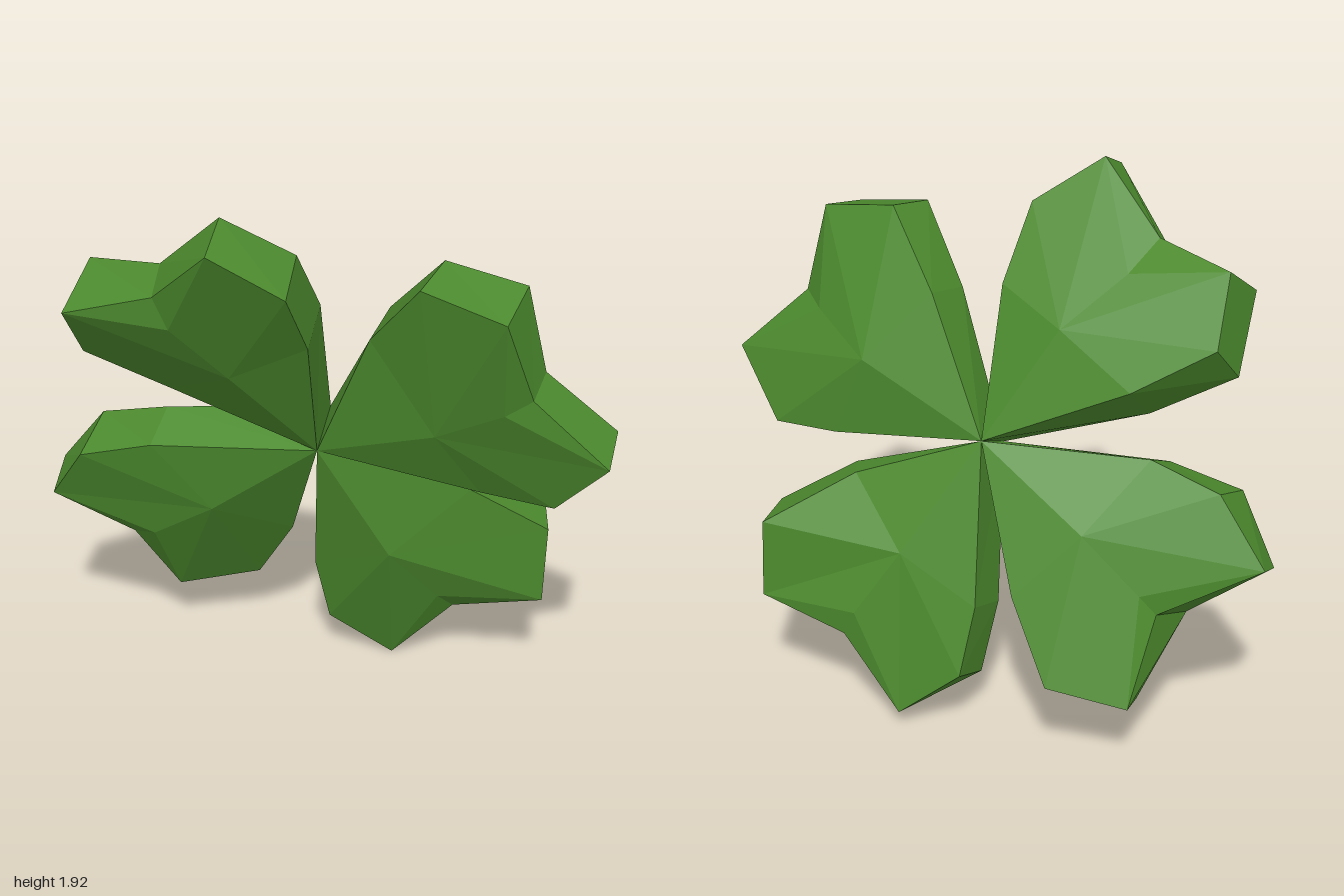
import * as THREE from 'three';

const hubFront = [-0.02, 0.963, 0.02];
const hubBack = [-0.005, 1.047, -0.17];
const NOTCH = 4; // outline index of the heart notch, the hub being 0

// Puffy heart. Each side has seven rim points running counter-clockwise (seen
// from the front) from the hub, a raised middle and a bump beside the notch.
function leafletGeometry(front, back) {
  const positions = [];
  const triangle = (a, b, c) => positions.push(...a, ...b, ...c);
  const frontLine = [hubFront, ...front.rim];
  const backLine = [hubBack, ...back.rim];

  // Fan from the middle; the bump stands in for the notch, with a small bevel
  const face = (outline, { middle, bump }, flip) => {
    const tri = flip ? (a, b, c) => triangle(a, c, b) : triangle;
    outline.forEach((p, i) => {
      const q = outline[(i + 1) % outline.length];
      const atStart = i === NOTCH;
      const atEnd = i + 1 === NOTCH;
      tri(middle, atStart ? bump : p, atEnd ? bump : q);
      if (atStart || atEnd) tri(bump, p, q);
    });
  };
  face(frontLine, front, false);
  face(backLine, back, true);

  // Rim wall
  frontLine.forEach((p, i) => {
    const j = (i + 1) % frontLine.length;
    triangle(p, backLine[i], backLine[j]);
    triangle(p, backLine[j], frontLine[j]);
  });

  // Unshared corners give flat facets
  const geometry = new THREE.BufferGeometry();
  geometry.setAttribute('position', new THREE.Float32BufferAttribute(positions, 3));
  geometry.computeVertexNormals();
  return geometry;
}

export function createModel() {
  const group = new THREE.Group();
  group.name = 'fourLeafClover';

  const leafGreen = new THREE.MeshStandardMaterial({ color: 0x4c8a2e });
  leafGreen.name = 'leaf green';

  const addLeaflet = (name, front, back) => {
    const mesh = new THREE.Mesh(leafletGeometry(front, back), leafGreen);
    mesh.name = name;
    group.add(mesh);
  };

  addLeaflet('upperRightLeaflet', {
    rim: [[0, 1.47, 0.29], [-0.04, 1.70, 0.445], [-0.28, 1.85, 0.50], [-0.50, 1.63, 0.33],
      [-0.82, 1.53, 0.28], [-0.82, 1.30, 0.07], [-0.54, 1.155, 0.005]],
    middle: [-0.28, 1.31, 0.22], bump: [-0.45, 1.52, 0.33],
  }, {
    rim: [[0, 1.53, 0.06], [-0.045, 1.77, 0.235], [-0.27, 1.92, 0.335], [-0.50, 1.70, 0.21],
      [-0.77, 1.655, 0.09], [-0.775, 1.44, -0.07], [-0.51, 1.285, -0.145]],
    middle: [-0.24, 1.44, -0.06], bump: [-0.43, 1.61, 0.08],
  });

  addLeaflet('upperLeftLeaflet', {
    rim: [[0.553, 0.888, 0.08], [0.81, 0.888, 0.15], [0.985, 1.096, 0.245], [0.73, 1.34, 0.275],
      [0.645, 1.647, 0.396], [0.36, 1.706, 0.305], [0.18, 1.46, 0.16]],
    middle: [0.404, 1.134, 0.18], bump: [0.64, 1.28, 0.28],
  }, {
    rim: [[0.56, 0.965, -0.105], [0.81, 0.945, -0.05], [1, 1.16, 0.08], [0.757, 1.385, 0.14],
      [0.69, 1.695, 0.175], [0.415, 1.74, 0.12], [0.22, 1.50, -0.03]],
    middle: [0.44, 1.265, -0.13], bump: [0.665, 1.365, 0.03],
  });

  addLeaflet('lowerRightLeaflet', {
    rim: [[-0.60, 0.957, 0.07], [-0.858, 0.893, 0.064], [-1.0, 0.674, -0.04], [-0.725, 0.497, -0.12],
      [-0.596, 0.203, -0.26], [-0.307, 0.24, -0.34], [-0.152, 0.519, -0.21]],
    middle: [-0.404, 0.684, 0], bump: [-0.634, 0.53, -0.06],
  }, {
    rim: [[-0.575, 1.032, -0.09], [-0.825, 0.968, -0.14], [-1.0, 0.743, -0.20], [-0.665, 0.57, -0.30],
      [-0.615, 0.275, -0.445], [-0.345, 0.34, -0.505], [-0.19, 0.60, -0.395]],
    middle: [-0.404, 0.825, -0.31], bump: [-0.61, 0.64, -0.32],
  });

  addLeaflet('lowerLeftLeaflet', {
    rim: [[-0.056, 0.422, -0.14], [-0.013, 0.16, -0.20], [0.217, 0, -0.24], [0.447, 0.267, -0.18],
      [0.773, 0.358, -0.122], [0.783, 0.663, -0.10], [0.51, 0.829, -0.04]],
    middle: [0.233, 0.556, -0.005], bump: [0.398, 0.342, -0.11],
  }, {
    rim: [[-0.035, 0.49, -0.325], [0, 0.245, -0.39], [0.22, 0.065, -0.41], [0.437, 0.322, -0.37],
      [0.755, 0.405, -0.345], [0.75, 0.687, -0.33], [0.45, 0.865, -0.19]],
    middle: [0.235, 0.655, -0.33], bump: [0.39, 0.42, -0.385],
  });

  return group;
}
